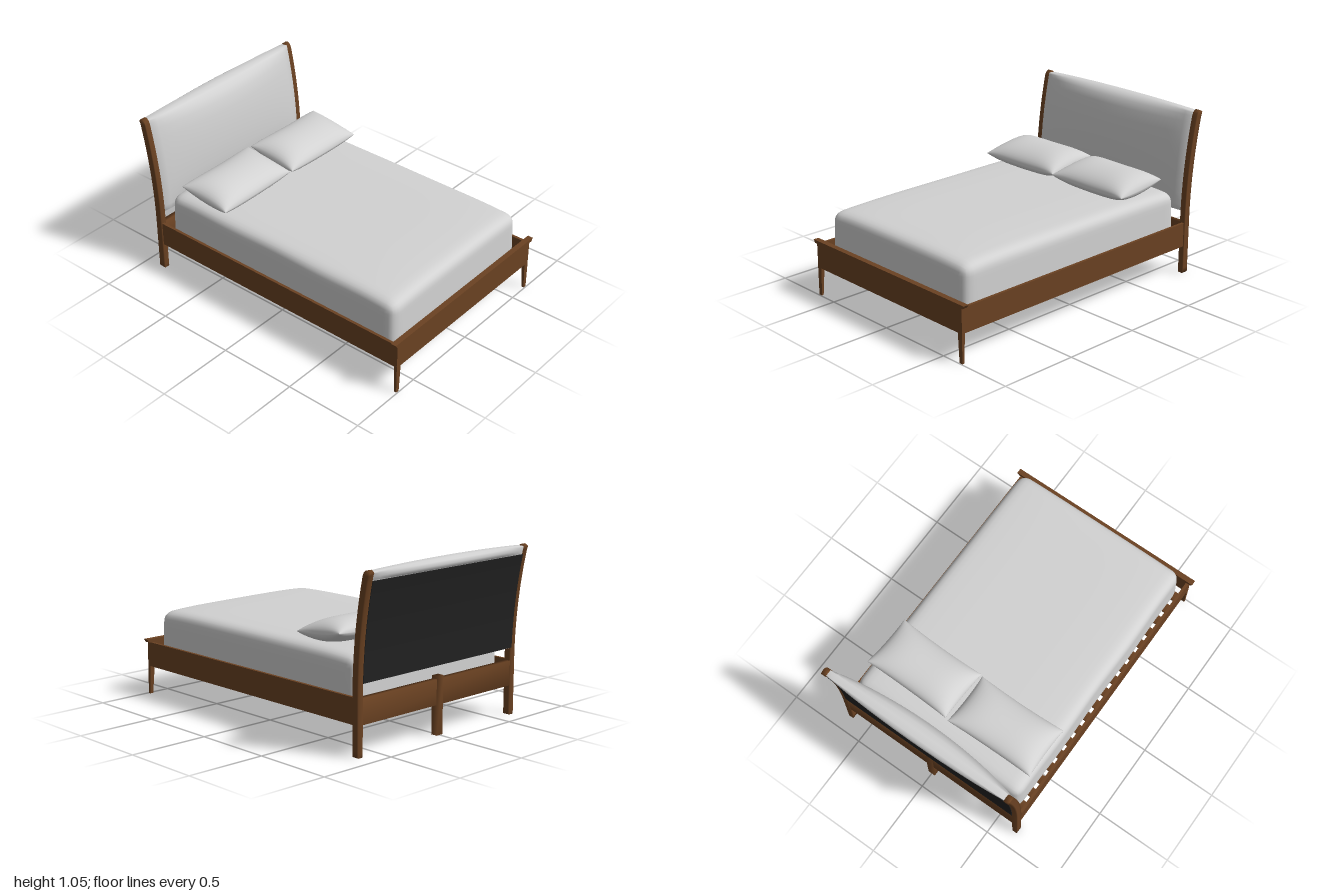
import * as THREE from 'three';
import { mergeVertices } from 'three/addons/utils/BufferGeometryUtils.js';

const wood = new THREE.MeshStandardMaterial({ color: 0x6b4222 });
wood.name = 'walnut wood';
const fabric = new THREE.MeshStandardMaterial({ color: 0xd2d2d2 });
fabric.name = 'pale fabric';
const backing = new THREE.MeshStandardMaterial({ color: 0x222222 });
backing.name = 'black backing cloth';

// z of the headboard's centre line at height y: straight, then sweeping back
const sweep = (y) => -0.877 - 0.168 * Math.max(0, y - 0.35) ** 2;

function addMesh(parent, name, geometry, material) {
  const mesh = new THREE.Mesh(geometry, material);
  mesh.name = name;
  parent.add(mesh);
  return mesh;
}

// Weld the vertices and smooth the normals
function soften(geometry) {
  geometry.deleteAttribute('uv');
  geometry.deleteAttribute('normal');
  const welded = mergeVertices(geometry, 1e-5);
  welded.computeVertexNormals();
  return welded;
}

// Move every vertex of a geometry by a rule
function reshape(geometry, rule) {
  const p = geometry.attributes.position;
  const v = new THREE.Vector3();
  for (let i = 0; i < p.count; i++) {
    rule(v.fromBufferAttribute(p, i));
    p.setXYZ(i, v.x, v.y, v.z);
  }
  return geometry;
}

// Box given by its limits on each axis
function boxBetween(x0, x1, y0, y1, z0, z1) {
  return new THREE.BoxGeometry(x1 - x0, y1 - y0, z1 - z0)
    .translate((x0 + x1) / 2, (y0 + y1) / 2, (z0 + z1) / 2);
}

// Round-edged mattress with a gentle crown and a slight flare at the foot
function mattressGeometry() {
  const half = new THREE.Vector3(0.602, 0.17, 0.868);
  const r = 0.065;
  const inner = half.clone().subScalar(r);
  const core = new THREE.Vector3();
  const g = reshape(new THREE.BoxGeometry(2, 2, 2, 28, 16, 32), (v) => {
    for (const k of ['x', 'y', 'z']) v[k] = Math.sin(v[k] * Math.PI / 2) * half[k];
    core.copy(v).clamp(inner.clone().negate(), inner);
    v.sub(core);
    if (v.lengthSq() > 0) v.setLength(r);
    v.add(core);
    const flare = 1 + 0.012 * (0.5 - v.y / half.y / 2);
    const wave = 0.003 * Math.sin(v.x * 14 + 1) * Math.sin(v.z * 9 + 2);
    const crown = 0.015 * Math.max(0, v.y / half.y) *
      ((v.x / half.x) ** 4 + (v.z / half.z) ** 6);
    v.x = v.x * flare + wave * Math.sign(v.x) * Math.abs(v.x / half.x) ** 8;
    v.z = v.z * flare;
    v.y -= crown;
  });
  return soften(g).translate(0, 0.39, 0.052);
}

// Pillow: plump centre, thin seam, pointed corners and slightly hollow sides
function pillowGeometry() {
  const g = reshape(new THREE.BoxGeometry(2, 2, 2, 24, 2, 20), (v) => {
    const u = Math.sin(v.x * Math.PI / 2);
    const w = Math.sin(v.z * Math.PI / 2);
    const fill = Math.sqrt(Math.max(0, (1 - u ** 4) * (1 - w * w)));
    const lift = v.y > 0 ? 0.082 : 0.06;
    const y = v.y * (lift * fill + 0.002);
    v.x = 0.293 * u * (1 - 0.02 * (1 - w * w));
    v.z = 0.175 * w * (1 - 0.04 * (1 - u * u));
    v.y = y - 0.02 * w + 0.012 * u * u * w * w;
  });
  return soften(g);
}

// Headboard cushion: side sections swept across the width, bulging mid-way
function cushionGeometry() {
  // [y, z] at the middle, from the bottom front over the rolled top
  const middle = [
    [0.41, -0.862], [0.412, -0.838], [0.45, -0.822], [0.52, -0.811], [0.6, -0.807],
    [0.7, -0.811], [0.8, -0.819], [0.9, -0.833], [0.97, -0.85], [1.015, -0.872],
    [1.04, -0.9], [1.05, -0.935], [1.047, -0.975], [1.035, -0.994], [1.015, -1.0],
    [0.995, -0.993], [0.985, -0.965], [0.8, -0.928], [0.6, -0.903], [0.41, -0.893],
  ];
  const n = middle.length;
  const columns = 24;
  const positions = [];
  const index = [];
  for (let i = -1; i <= columns + 1; i++) {
    const u = THREE.MathUtils.clamp(i / columns * 2 - 1, -1, 1);
    const capped = i < 0 || i > columns;
    const bulge = (1 - u * u) ** 0.85;
    middle.forEach(([y, z], j) => {
      const yy = y > 0.98 ? 0.98 + (y - 0.98) * (0.8 + 0.2 * bulge) : y;
      const c = sweep(yy);
      const edge = c + THREE.MathUtils.clamp(z - c, -0.02, 0.022);
      positions.push(0.62 * u, yy, capped ? c : THREE.MathUtils.lerp(edge, z, bulge));
      if (i <= columns) {
        const a = (i + 1) * n + j;
        const b = (i + 1) * n + (j + 1) % n;
        index.push(a, a + n, b, b, a + n, b + n);
      }
    });
  }
  const g = new THREE.BufferGeometry();
  g.setAttribute('position', new THREE.Float32BufferAttribute(positions, 3));
  g.setIndex(index);
  g.computeVertexNormals();
  return g;
}

export function createModel() {
  const model = new THREE.Group();
  model.name = 'bed';

  // Frame
  const frame = new THREE.Group();
  frame.name = 'frame';
  model.add(frame);
  addMesh(frame, 'footPanel', boxBetween(-0.65, 0.65, 0.18, 0.337, 0.974, 0.994), wood);
  const cap = reshape(boxBetween(-0.675, 0.675, 0.335, 0.355, 0.965, 1), (v) => {
    if (v.y < 0.34) v.x *= 0.98;
  });
  cap.computeVertexNormals();
  addMesh(frame, 'footCap', cap, wood);
  addMesh(frame, 'headRail', soften(boxBetween(-0.625, 0.625, 0.18, 0.332, -0.895, -0.862)), wood);
  addMesh(frame, 'centreLeg', soften(boxBetween(-0.024, 0.024, 0, 0.35, -0.9, -0.858)), wood);

  for (const side of [-1, 1]) {
    const name = side > 0 ? 'left' : 'right';
    const rail = boxBetween(-0.009, 0.009, 0.18, 0.335, -0.86, 0.975).translate(side * 0.641, 0, 0);
    addMesh(frame, name + 'SideRail', rail, wood);

    // Tapered front leg
    const leg = reshape(boxBetween(-0.0175, 0.0175, 0, 0.19, 0.972, 0.994), (v) => {
      if (v.y < 0.1) {
        if (v.x * side < 0) v.x += side * 0.012;
        if (v.z < 0.98) v.z += 0.008;
      }
      v.x += side * 0.6335;
    });
    leg.computeVertexNormals();
    addMesh(frame, name + 'FrontLeg', leg, wood);

    // Swept headboard post with a rounded top
    const post = reshape(new THREE.BoxGeometry(0.033, 1.045, 0.047, 1, 32, 4), (v) => {
      const y = v.y + 0.5225;
      const across = v.z / 0.0235;
      v.z += sweep(y);
      v.y = y > 1.03 ? y - 0.015 * across * across : y;
      v.x += side * 0.636;
    });
    addMesh(frame, name + 'HeadPost', soften(post), wood);
  }

  // Slats
  const slatCount = 18;
  const slatGeometry = soften(new THREE.BoxGeometry(1.27, 0.02, 0.056));
  for (let i = 0; i < slatCount; i++) {
    const slat = addMesh(frame, 'slat', slatGeometry, wood);
    slat.position.set(0, 0.205, THREE.MathUtils.lerp(-0.775, 0.895, i / (slatCount - 1)));
  }

  // Headboard
  addMesh(model, 'headboardCushion', cushionGeometry(), fabric);
  const panel = reshape(new THREE.BoxGeometry(1.24, 0.57, 0.006, 1, 20, 1), (v) => {
    v.y += 0.7;
    v.z += sweep(v.y) - 0.024;
  });
  panel.computeVertexNormals();
  addMesh(model, 'headboardBack', panel, backing);

  // Bedding
  addMesh(model, 'mattress', mattressGeometry(), fabric);
  const pillow = pillowGeometry();
  for (const [name, x, z] of [['rightPillow', -0.306, -0.528], ['leftPillow', 0.296, -0.518]]) {
    const mesh = addMesh(model, name, pillow, fabric);
    mesh.position.set(x, 0.617, z);
    mesh.rotation.y = x < 0 ? 0.01 : -0.02;
  }
  return model;
}
